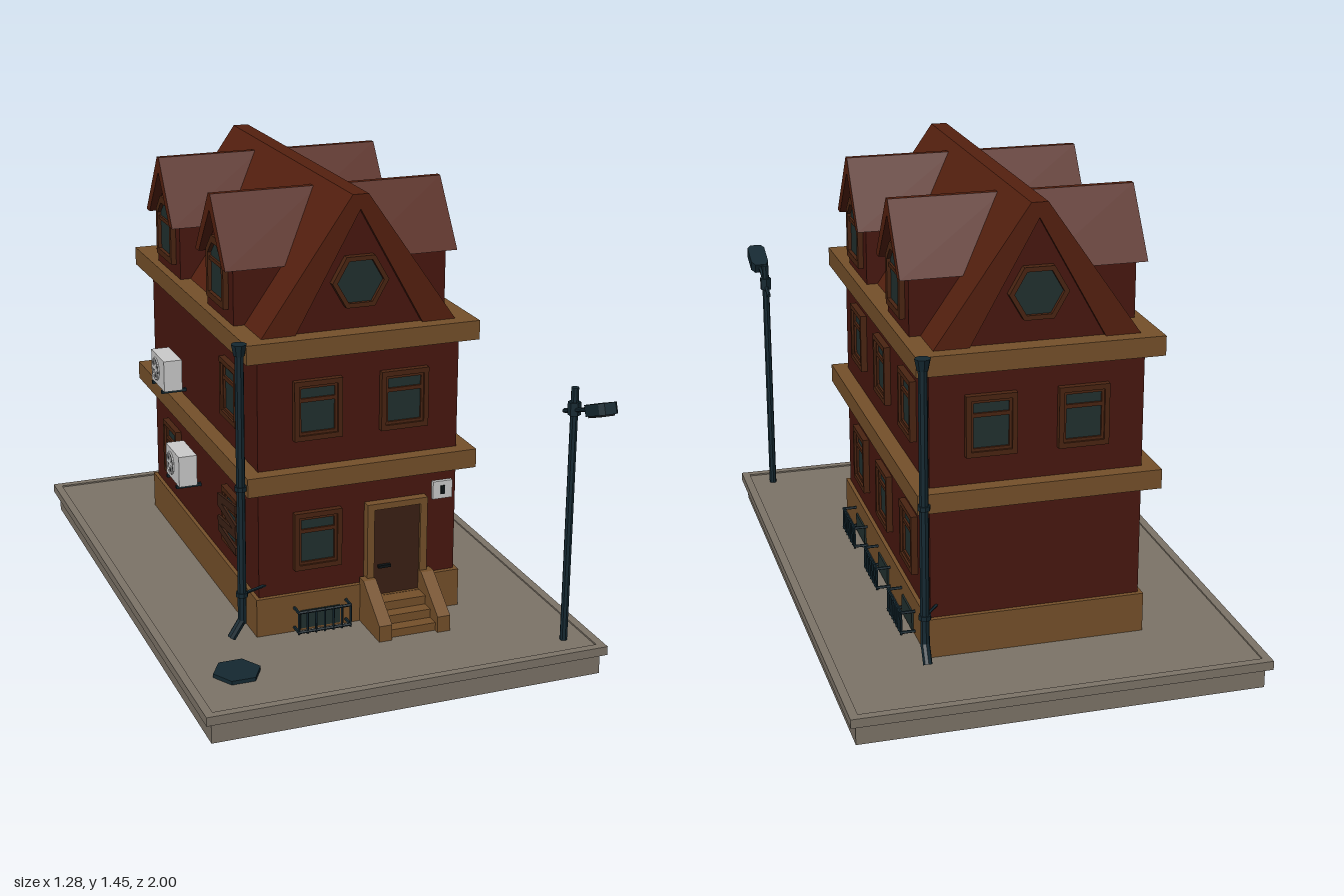
import * as THREE from 'three';

const mat = (color) => new THREE.MeshStandardMaterial({ color, flatShading: true });
const M = {
  wall: mat(0x48170f), roof: mat(0x55200f), trim: mat(0x75502a), frame: mat(0x4a2411),
  door: mat(0x3b2014), glass: mat(0x21302f), metal: mat(0x142831), dark: mat(0x0c1214),
  ground: mat(0x7d7468), pale: mat(0xcccccc),
};
const HOUSE_Z = -0.125, HALF_X = 0.325, HALF_Z = 0.555;

function add(parent, name, geo, m, x = 0, y = 0, z = 0) {
  const mesh = new THREE.Mesh(geo, m);
  mesh.name = name;
  mesh.position.set(x, y, z);
  parent.add(mesh);
  return mesh;
}
const box = (p, name, m, w, h, d, x, y, z) => add(p, name, new THREE.BoxGeometry(w, h, d), m, x, y, z);
const group = (p, name) => { const g = new THREE.Group(); g.name = name; p.add(g); return g; };
const pts = (list) => list.map(([x, y]) => new THREE.Vector2(x, y));
const rect = (w, h) => [[-w, -h], [w, -h], [w, h], [-w, h]];
const hexagon = (r) => Array.from({ length: 6 }, (_, i) => [r * Math.cos(i * Math.PI / 3), r * Math.sin(i * Math.PI / 3)]);

// Extrude an outline along z, with an optional hole
function prism(outline, depth, hole) {
  const shape = new THREE.Shape(pts(outline));
  if (hole) shape.holes.push(new THREE.Path(pts(hole)));
  return new THREE.ExtrudeGeometry(shape, { depth, bevelEnabled: false });
}

// Round bar between two points
function rod(p, name, a, b, r, m = M.metal, sides = 8) {
  const A = new THREE.Vector3(...a), B = new THREE.Vector3(...b);
  const mesh = add(p, name, new THREE.CylinderGeometry(r, r, A.distanceTo(B), sides), m);
  mesh.position.copy(A).add(B).multiplyScalar(0.5);
  mesh.quaternion.setFromUnitVectors(new THREE.Vector3(0, 1, 0), B.sub(A).normalize());
  return mesh;
}

// Put a part that faces +z onto one of the four house walls
function onWall(part, side, u, y, out = 0) {
  const zf = HALF_Z + out, xf = HALF_X + out;
  if (side === 'front') part.position.set(u, y, HOUSE_Z + zf);
  if (side === 'back') { part.position.set(u, y, HOUSE_Z - zf); part.rotation.y = Math.PI; }
  if (side === 'left') { part.position.set(xf, y, u); part.rotation.y = Math.PI / 2; }
  if (side === 'right') { part.position.set(-xf, y, u); part.rotation.y = -Math.PI / 2; }
  return part;
}

function addWindow(p, side, u, y) {
  const g = onWall(group(p, 'window'), side, u, y);
  add(g, 'windowFrame', prism(rect(0.077, 0.094), 0.02, rect(0.062, 0.078)), M.frame);
  add(g, 'windowSash', prism(rect(0.064, 0.08), 0.013, rect(0.054, 0.069)), M.frame);
  box(g, 'windowGlass', M.glass, 0.124, 0.156, 0.006, 0, 0, 0.003);
  box(g, 'windowTransom', M.frame, 0.124, 0.012, 0.013, 0, 0.032, 0.0065);
  return g;
}

// Basement window behind a projecting cage of bars
function addGrille(p, side, u) {
  const g = onWall(group(p, 'basementWindow'), side, u, 0.09, 0.012);
  box(g, 'basementGlass', M.glass, 0.13, 0.06, 0.006, 0, 0.035, 0.003);
  for (const y of [0.012, 0.078]) {
    rod(g, 'grilleRail', [-0.088, y, 0.044], [0.088, y, 0.044], 0.005, M.metal, 5);
    for (const s of [-1, 1]) rod(g, 'grilleArm', [s * 0.085, y, 0], [s * 0.085, y, 0.044], 0.005, M.metal, 5);
  }
  for (let i = 0; i < 7; i++) {
    const x = -0.085 + i * 0.0283;
    rod(g, 'grilleBar', [x, 0.005, 0.044], [x, 0.082, 0.044], 0.004, M.metal, 5);
  }
}

// Dormer facing +z, turned towards either side of the roof
function addDormer(p, s, z) {
  const g = group(p, 'dormer');
  add(g, 'dormerWall', prism([[-0.13, 1.03], [0.13, 1.03], [0.13, 1.22], [0, 1.39], [-0.13, 1.22]], 0.245), M.wall, 0, 0, 0.1);
  add(g, 'dormerRoof', prism([[-0.15, 1.215], [-0.115, 1.215], [0, 1.37], [0.115, 1.215], [0.15, 1.215],
    [0.01, 1.42], [-0.01, 1.42]], 0.345), M.roof, 0, 0, 0.03);
  const arch = (w, lo, mid, hi, tip) => [[-w, lo], [w, lo], [w, mid], [tip, hi], [-tip, hi], [-w, mid]];
  add(g, 'dormerFrame', prism(arch(0.085, 1.08, 1.23, 1.285, 0.03), 0.02, arch(0.066, 1.1, 1.222, 1.262, 0.025)), M.frame, 0, 0, 0.342);
  add(g, 'dormerGlass', prism(arch(0.07, 1.095, 1.224, 1.266, 0.025), 0.008), M.glass, 0, 0, 0.342);
  box(g, 'dormerTransom', M.frame, 0.132, 0.012, 0.014, 0, 1.205, 0.35);
  g.rotation.y = s * Math.PI / 2;
  g.position.z = z;
}

function addAirConditioner(p, z, y) {
  const g = onWall(group(p, 'airConditioner'), 'right', z, y);
  box(g, 'unitCase', M.pale, 0.15, 0.105, 0.062, 0, 0, 0.049);
  add(g, 'fanRing', new THREE.TorusGeometry(0.036, 0.004, 5, 16), M.pale, -0.02, 0, 0.081);
  add(g, 'fanOpening', new THREE.CircleGeometry(0.034, 16), M.dark, -0.02, 0, 0.0805);
  for (let i = 0; i < 3; i++) {
    box(g, 'fanBlade', M.pale, 0.064, 0.012, 0.003, -0.02, 0, 0.082).rotation.z = i * Math.PI / 3;
  }
  for (const x of [-0.055, 0.055]) box(g, 'unitBracket', M.metal, 0.012, 0.01, 0.085, x, -0.058, 0.0425);
}

// Downpipe with hopper, collars, wall clips and a kicked-out foot
function addDownpipe(p, x, z, kickX, kickZ, clipX, clipZ) {
  const g = group(p, 'downpipe');
  rod(g, 'pipe', [x, 0.155, z], [x, 1.02, z], 0.014);
  rod(g, 'pipeFoot', [x, 0.165, z], [x + kickX, 0.11, z + kickZ], 0.014);
  add(g, 'hopper', new THREE.CylinderGeometry(0.024, 0.017, 0.035, 8), M.metal, x, 1.027, z);
  for (const y of [0.25, 0.595]) {
    add(g, 'collar', new THREE.CylinderGeometry(0.019, 0.019, 0.014, 8), M.metal, x, y, z);
    rod(g, 'clip', [x, y, z], [clipX, y, clipZ], 0.005, M.metal, 5);
  }
}

export function createModel() {
  const root = new THREE.Group();
  root.name = 'townHouse';

  // Paved base with a raised kerb
  const base = group(root, 'pavement');
  box(base, 'slab', M.ground, 1.24, 0.066, 1.85, 0, 0.033, -0.055);
  box(base, 'paving', M.ground, 1.24, 0.03, 1.85, 0, 0.073, -0.055);
  const kerb = add(base, 'kerb', prism(rect(0.638, 0.942), 0.028, rect(0.612, 0.916)), M.ground, 0, 0.065, -0.058);
  kerb.rotation.x = -Math.PI / 2;

  // House body and bands
  const house = group(root, 'house');
  box(house, 'plinth', M.trim, 0.675, 0.13, 1.14, 0, 0.147, HOUSE_Z);
  box(house, 'walls', M.wall, 2 * HALF_X, 0.82, 2 * HALF_Z, 0, 0.6, HOUSE_Z);
  for (const y of [0.595, 1.01]) box(house, 'cornice', M.trim, 0.745, 0.06, 1.203, 0, y, HOUSE_Z);

  // Main roof shell with recessed gables
  const zBack = HOUSE_Z - HALF_Z;
  add(house, 'roof', prism([[-0.325, 1.02], [-0.215, 1.02], [0, 1.405], [0.215, 1.02], [0.325, 1.02],
    [0.025, 1.45], [-0.025, 1.45]], 2 * HALF_Z), M.roof, 0, 0, zBack);
  add(house, 'gableWall', prism([[-0.22, 1.02], [0.22, 1.02], [0, 1.41]], 2 * HALF_Z - 0.03), M.wall, 0, 0, zBack + 0.015);
  for (const side of ['front', 'back']) {
    const g = onWall(group(house, 'gableWindow'), side, 0, 1.187, -0.015);
    add(g, 'gableWindowFrame', prism(hexagon(0.09), 0.022, hexagon(0.074)), M.frame);
    add(g, 'gableWindowGlass', prism(hexagon(0.077), 0.01), M.glass);
  }
  for (const s of [-1, 1]) for (const z of [0.145, -0.405]) addDormer(house, s, z);

  // Windows
  for (const z of [0.2, -0.13, -0.455]) {
    for (const y of [0.38, 0.807]) addWindow(house, 'left', z, y);
    addGrille(house, 'left', z);
  }
  addGrille(house, 'front', -0.13);
  addWindow(house, 'front', -0.137, 0.385);
  for (const x of [-0.137, 0.143]) {
    addWindow(house, 'front', x, 0.807);
    addWindow(house, 'back', x, 0.807);
  }
  addWindow(house, 'right', -0.455, 0.38);
  addWindow(house, 'right', 0.2, 0.807);
  const boarded = addWindow(house, 'right', 0.2, 0.38);
  [0.12, -0.15, 0.08, -0.1].forEach((tilt, i) => {
    box(boarded, 'plank', M.door, 0.18, 0.026, 0.008, 0, 0.06 - i * 0.04, 0.024).rotation.z = tilt;
  });

  // Front door
  const entry = group(root, 'entrance');
  add(entry, 'doorFrame', prism([[0.02, 0.17], [0.22, 0.17], [0.22, 0.48], [0.02, 0.48]], 0.035,
    [[0.043, 0.171], [0.197, 0.171], [0.197, 0.46], [0.043, 0.46]]), M.trim, 0, 0, 0.425);
  box(entry, 'door', M.door, 0.16, 0.295, 0.02, 0.12, 0.315, 0.44);
  box(entry, 'doorHandle', M.dark, 0.04, 0.009, 0.012, 0.078, 0.268, 0.456);

  // Steps between sloping cheek walls
  for (let i = 0; i < 3; i++) {
    const d = 0.15 - i * 0.04;
    box(entry, 'step', M.trim, 0.16, 0.028, d, 0.12, 0.1 + i * 0.028, 0.44 + d / 2);
  }
  for (const x of [0.002, 0.196]) {
    const cheek = add(entry, 'cheekWall', prism([[-0.44, 0.085], [-0.44, 0.235], [-0.475, 0.235], [-0.607, 0.14], [-0.607, 0.085]], 0.042), M.trim, x, 0, 0);
    cheek.rotation.y = Math.PI / 2;
  }
  box(entry, 'wallPlate', M.pale, 0.065, 0.058, 0.012, 0.278, 0.49, 0.436);
  box(entry, 'wallPlateSlot', M.dark, 0.014, 0.028, 0.004, 0.278, 0.49, 0.443);

  // Wall fittings
  addAirConditioner(root, -0.365, 0.708);
  addAirConditioner(root, -0.215, 0.425);
  addDownpipe(root, -0.39, 0.462, -0.035, 0, -0.3, 0.425);
  addDownpipe(root, 0.358, -0.745, 0, -0.03, 0.3, -0.67);

  // Street lamp with a tilted head
  const lamp = group(root, 'streetLamp');
  rod(lamp, 'lampPost', [0.54, 0.085, 0.783], [0.54, 0.905, 0.783], 0.012);
  add(lamp, 'lampCollar', new THREE.CylinderGeometry(0.02, 0.02, 0.04, 6), M.metal, 0.54, 0.84, 0.783);
  rod(lamp, 'lampArm', [0.54, 0.812, 0.722], [0.54, 0.872, 0.89], 0.007, M.metal, 6);
  const head = group(lamp, 'lampHead');
  head.position.set(0.54, 0.888, 0.938);
  head.rotation.x = -0.36;
  const shell = add(head, 'lampShell', prism([[-0.018, -0.06], [0.018, -0.06], [0.03, -0.04], [0.03, 0.045],
    [0.018, 0.06], [-0.018, 0.06], [-0.03, 0.045], [-0.03, -0.04]], 0.034), M.metal, 0, 0.017, 0);
  shell.rotation.x = Math.PI / 2;
  box(head, 'lampLens', M.dark, 0.044, 0.008, 0.08, 0, -0.018, 0);

  // Manhole cover
  const cover = add(root, 'manholeCover', new THREE.CylinderGeometry(0.074, 0.074, 0.016, 6), M.metal, -0.47, 0.092, 0.65);
  cover.rotation.y = Math.PI / 6;
  return root;
}
